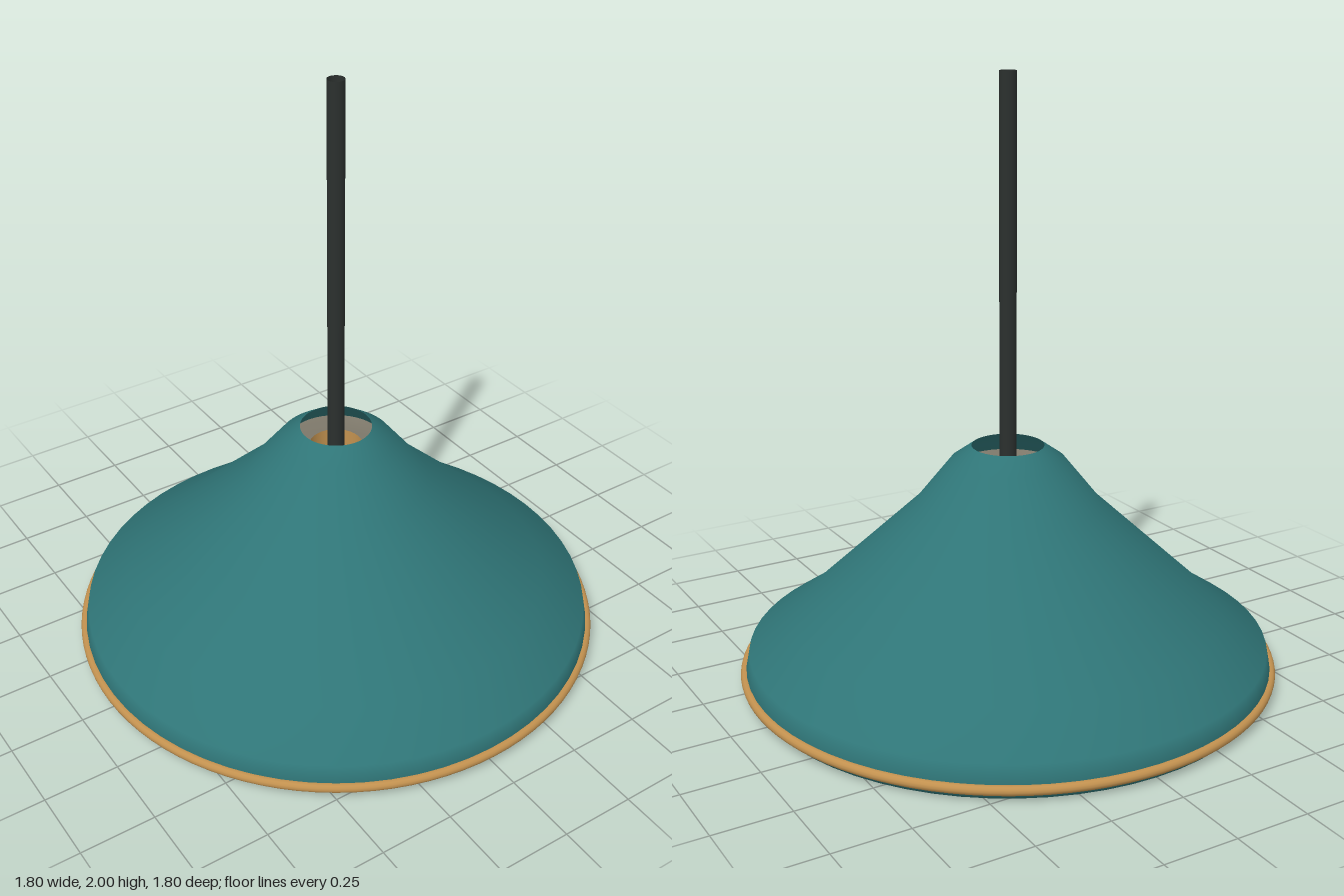
import * as THREE from 'three';

const material = (name, color) =>
  new THREE.MeshStandardMaterial({ name, color, side: THREE.DoubleSide });

export function createModel() {
  const teal = material('teal enamel', 0x2f7577);
  const cream = material('cream lining', 0xd8cfb8);
  const brass = material('brass', 0xc2914f);
  const glass = material('warm bulb glass', 0xe0cb85);
  const black = material('black rod', 0x2b302e);

  const group = new THREE.Group();
  group.name = 'pendantLamp';
  const add = (name, geometry, mat, y = 0) => {
    const mesh = new THREE.Mesh(geometry, mat);
    mesh.name = name;
    mesh.position.y = y;
    group.add(mesh);
    return mesh;
  };
  const lathe = (points) =>
    new THREE.LatheGeometry(points.map(([r, y]) => new THREE.Vector2(r, y)), 64);

  // Shade: turned-in lip, low skirt, long cone and open collar
  add('shade', lathe([
    [0.83, 0.012], [0.87, 0], [0.885, 0.035], [0.87, 0.11],
    [0.72, 0.21], [0.31, 0.59], [0.19, 0.74], [0.12, 0.79],
  ]), teal);

  // Pale lining just inside the shade
  add('lining', lathe([
    [0.83, 0.012], [0.83, 0.1], [0.69, 0.2], [0.28, 0.58], [0.17, 0.72],
  ]), cream);

  // Rolled trim around the rim
  add('rimTrim', new THREE.TorusGeometry(0.885, 0.016, 12, 96).rotateX(Math.PI / 2), brass, 0.035);

  // Bulb, its open socket and the open hanging rod
  add('bulb', new THREE.SphereGeometry(0.19, 40, 28), glass, 0.25).scale.y = 1.13;
  add('socket', new THREE.CylinderGeometry(0.09, 0.09, 0.29, 32, 1, true), brass, 0.57);
  add('rod', new THREE.CylinderGeometry(0.028, 0.028, 1.3, 24, 1, true), black, 1.35);

  return group;
}
